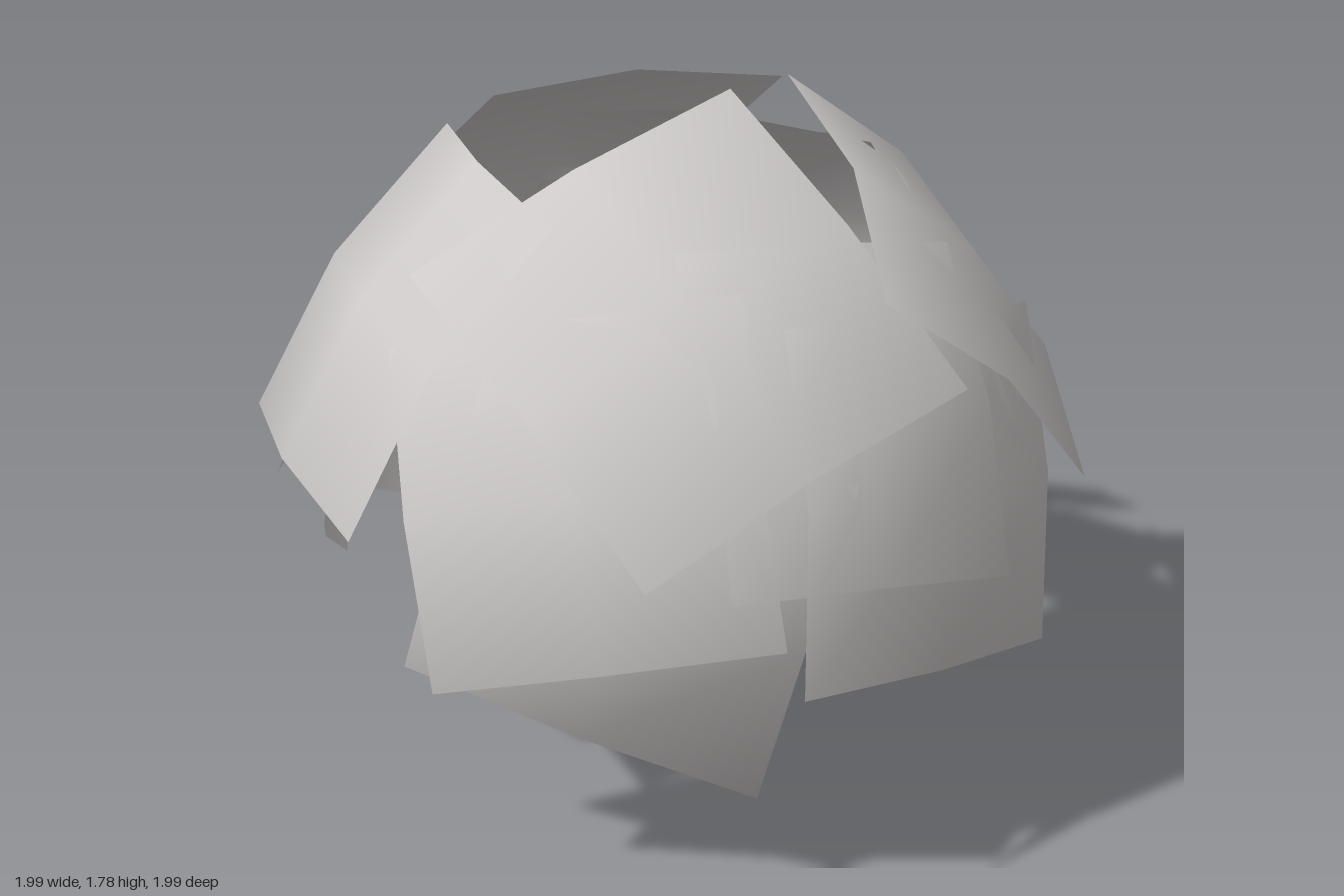
import * as THREE from 'three';

const leafGrey = new THREE.MeshStandardMaterial({ color: 0xcdcac9, side: THREE.DoubleSide });
leafGrey.name = 'leafGrey';
const barkBrown = new THREE.MeshStandardMaterial({ color: 0x957b69 });
barkBrown.name = 'barkBrown';

const V = (p) => new THREE.Vector3(...p);
const HEART = new THREE.Vector3(0, 0.78, 0); // middle of the leafy dome

// Four-cornered leaf sheet, slightly domed and shaded as part of one round crown
function leafSheet(corners, bulge) {
  const [a, b, c, d] = corners.map(V);
  const centre = a.clone().add(b).add(c).add(d).multiplyScalar(0.25);
  const normal = c.clone().sub(a).cross(d.clone().sub(b)).normalize();
  if (normal.dot(centre.sub(HEART)) < 0) {
    return leafSheet([corners[0], corners[3], corners[2], corners[1]], bulge);
  }
  const geo = new THREE.PlaneGeometry(2, 2, 2, 2);
  const pos = geo.attributes.position;
  for (let i = 0; i < pos.count; i++) {
    const u = pos.getX(i), v = pos.getY(i);
    const low = a.clone().lerp(b, (u + 1) / 2);
    const high = d.clone().lerp(c, (u + 1) / 2);
    const p = low.lerp(high, (v + 1) / 2);
    p.addScaledVector(normal, bulge * (2 - u * u - v * v));
    pos.setXYZ(i, p.x, p.y, p.z);
    p.sub(HEART).normalize();
    geo.attributes.normal.setXYZ(i, p.x, p.y, p.z);
  }
  return new THREE.Mesh(geo, leafGrey);
}

// Tapered branch from the ground up into the leaves
function branch(start, end) {
  const a = V(start), b = V(end);
  const dir = b.clone().sub(a);
  const mesh = new THREE.Mesh(new THREE.CylinderGeometry(0.032, 0.046, dir.length(), 6), barkBrown);
  mesh.position.copy(a).add(b).multiplyScalar(0.5);
  mesh.quaternion.setFromUnitVectors(new THREE.Vector3(0, 1, 0), dir.normalize());
  return mesh;
}

// name: [bulge, four corners in order]
const SHEETS = {
  // crown ring
  crownFront: [0.045, [0.15, 1.77, 0.03], [0.68, 1.28, 0.57], [0, 0.99, 0.99], [-0.54, 1.48, 0.46]],
  crownLeft: [0.055, [0.28, 1.71, -0.26], [0.77, 1.14, -0.57], [0.99, 0.9, 0.23], [0.5, 1.46, 0.53]],
  crownBack: [0.045, [-0.09, 1.0, -1.0], [0.27, 1.59, -0.6], [-0.41, 1.68, -0.16], [-0.77, 1.12, -0.57]],
  crownRight: [0.055, [-1, 0.91, -0.07], [-0.54, 1.56, -0.3], [-0.22, 1.61, 0.51], [-0.66, 0.96, 0.73]],
  // middle ring
  middleFront: [0.045, [-0.48, 0.62, 0.8], [0.3, 0.81, 0.91], [0.19, 1.5, 0.58], [-0.59, 1.31, 0.47]],
  middleFrontLeft: [0.045, [0.18, 0.92, 0.91], [0.8, 0.8, 0.53], [0.65, 1.44, 0.12], [0.04, 1.56, 0.51]],
  middleLeft: [0.045, [0.92, 0.64, -0.18], [0.8, 1.07, 0.36], [0.53, 1.55, -0.09], [0.65, 1.12, -0.63]],
  middleBackLeft: [0.045, [-0.09, 0.86, -0.93], [0.74, 0.89, -0.65], [0.48, 1.57, -0.18], [-0.33, 1.54, -0.46]],
  middleBack: [0.045, [-0.45, 1.03, -0.85], [0.46, 1.05, -0.86], [0.45, 1.45, -0.57], [-0.45, 1.41, -0.56]],
  middleRight: [0.04, [-0.77, 0.82, -0.52], [-0.91, 0.86, 0.2], [-0.59, 1.43, 0.22], [-0.46, 1.39, -0.5]],
  // lower skirt
  lowerFront: [0.025, [-0.57, 0.57, 0.6], [0.24, 0.3, 0.7], [0.45, 1.1, 0.69], [-0.36, 1.34, 0.6]],
  lowerFrontLeft: [0.04, [0.34, 0.69, 0.91], [0.91, 0.5, 0.29], [0.85, 1.25, 0.01], [0.28, 1.44, 0.63]],
  lowerLeft: [0.03, [0.7, 0.28, -0.1], [0.68, 0.74, 0.53], [0.62, 1.38, 0.05], [0.63, 0.95, -0.58]],
  lowerBackLeft: [0.035, [0.76, 0.57, -0.44], [0.14, 0.41, -0.85], [0.1, 1.18, -0.8], [0.68, 1.3, -0.4]],
  lowerBack: [0.045, [0.47, 0.62, -0.88], [-0.39, 0.55, -0.77], [-0.35, 1.3, -0.6], [0.42, 1.36, -0.6]],
  lowerBackRight: [0.03, [-0.23, 0.28, -0.65], [-0.81, 0.62, -0.2], [-0.66, 1.3, -0.33], [-0.1, 1.0, -0.78]],
  lowerRight: [0.025, [-0.81, 0.48, -0.11], [-0.76, 0.86, 0.46], [-0.65, 1.4, 0.05], [-0.76, 1.04, -0.52]],
};

export function createModel() {
  const bush = new THREE.Group();
  bush.name = 'bush';

  const foliage = new THREE.Group();
  foliage.name = 'foliage';
  for (const [name, [bulge, ...corners]] of Object.entries(SHEETS)) {
    const sheet = leafSheet(corners, bulge);
    sheet.name = name;
    foliage.add(sheet);
  }

  // three branches spreading from one foot
  const branches = new THREE.Group();
  branches.name = 'branches';
  [
    ['branchBackRight', [0.01, 0.01, -0.005], [-0.28, 1.2, -0.27]],
    ['branchLeft', [0.015, 0.01, 0], [0.39, 1.08, -0.12]],
    ['branchFront', [0.01, 0.01, 0], [-0.1, 0.98, 0.32]],
  ].forEach(([name, start, end]) => {
    const b = branch(start, end);
    b.name = name;
    branches.add(b);
  });

  bush.add(foliage, branches);
  return bush;
}
